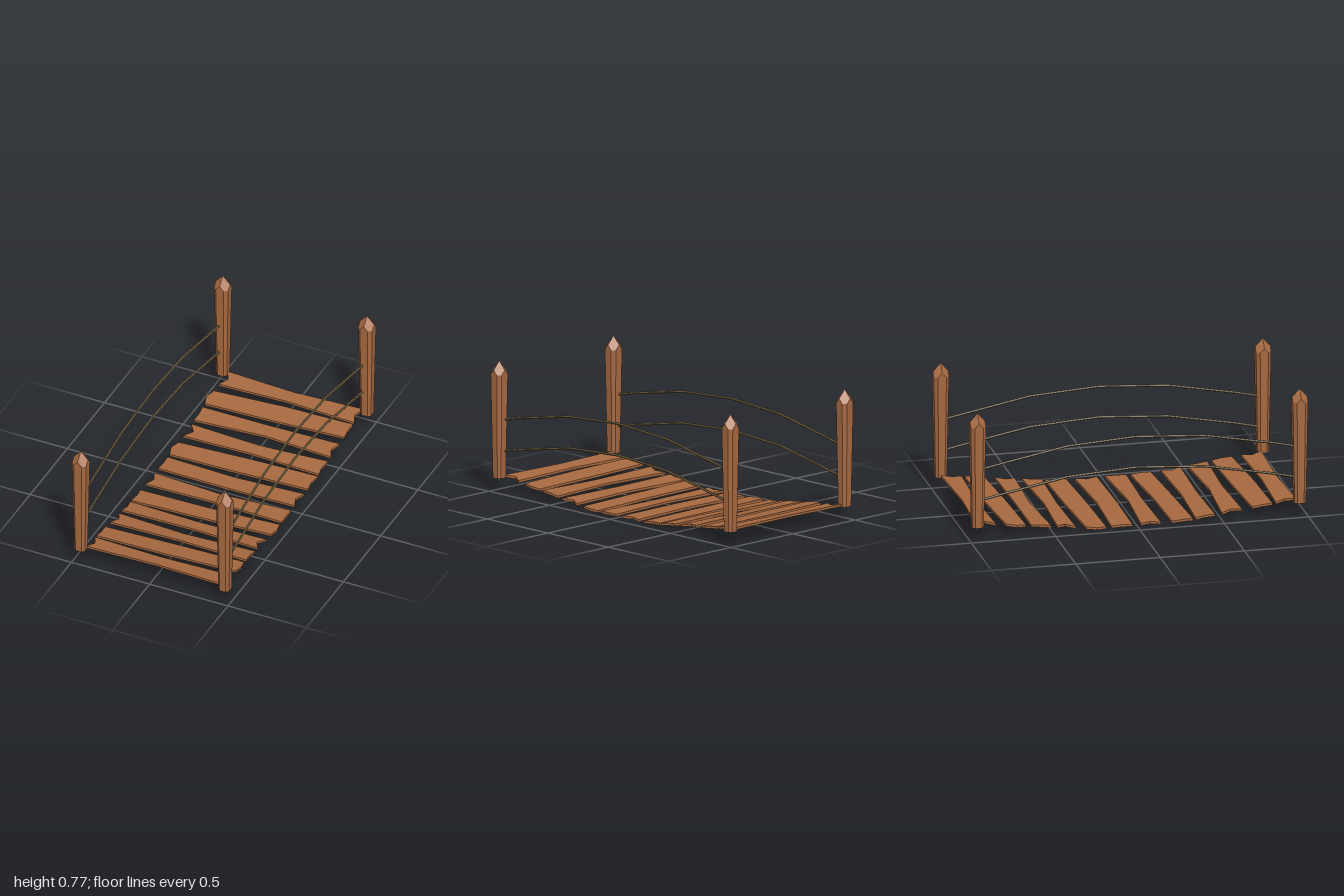
import * as THREE from 'three';

const wood = new THREE.MeshStandardMaterial({ name: 'wood', color: 0xa5683f, flatShading: true });
const rope = new THREE.MeshStandardMaterial({ name: 'rope', color: 0x7d6a48, flatShading: true });

// Planks: z of the back edge (left, middle, right), z of the front edge
// (left, middle, right), and x of the notch or point on each end
const PLANKS = [
  [-0.96, -0.94, -0.96, -0.84, -0.855, -0.835, -0.40, 0.41],
  [-0.78, -0.81, -0.82, -0.66, -0.675, -0.70, -0.455, 0.43],
  [-0.63, -0.63, -0.64, -0.51, -0.54, -0.52, -0.43, 0.41],
  [-0.475, -0.455, -0.48, -0.365, -0.375, -0.36, -0.395, 0.425],
  [-0.305, -0.33, -0.345, -0.185, -0.195, -0.215, -0.455, 0.425],
  [-0.155, -0.14, -0.165, -0.03, -0.025, -0.035, -0.43, 0.41],
  [0.02, 0.045, 0.015, 0.14, 0.13, 0.14, -0.41, 0.435],
  [0.205, 0.195, 0.165, 0.33, 0.31, 0.285, -0.43, 0.445],
  [0.345, 0.36, 0.345, 0.46, 0.45, 0.46, -0.425, 0.40],
  [0.50, 0.525, 0.50, 0.62, 0.605, 0.62, -0.405, 0.43],
  [0.68, 0.66, 0.645, 0.80, 0.79, 0.765, -0.43, 0.445],
  [0.82, 0.835, 0.82, 0.94, 0.925, 0.94, -0.405, 0.40],
];

// Height of the sagging deck
const SAG = [[0, 0.0105], [0.2, 0.0085], [0.33, 0.017], [0.6, 0.05], [0.97, 0.094]];
function deckHeight(z) {
  const d = Math.abs(z);
  let i = 1;
  while (i < SAG.length - 1 && d > SAG[i][0]) i++;
  const [a, ya] = SAG[i - 1], [b, yb] = SAG[i];
  return ya + (yb - ya) * (d - a) / (b - a);
}

// Worn plank: waisted outline with notched ends, tilted to follow the deck
function plankGeometry([bl, bm, br, fl, fm, fr, xl, xr]) {
  const t = 0.014, w = 0.435;
  const outline = [
    [-w, fl], [0, fm], [w, fr], [xr, (br + fr) / 2],
    [w, br], [0, bm], [-w, bl], [xl, (bl + fl) / 2],
  ].map(([x, z]) => new THREE.Vector2(x, -z));
  const g = new THREE.ExtrudeGeometry(new THREE.Shape(outline), { depth: t, bevelEnabled: false });
  g.rotateX(-Math.PI / 2);
  const z0 = (bl + br) / 2, z1 = (fl + fr) / 2;
  const y0 = deckHeight(z0), slope = (deckHeight(z1) - y0) / (z1 - z0);
  const p = g.attributes.position;
  for (let i = 0; i < p.count; i++) {
    p.setY(i, Math.max(0, p.getY(i) - t / 2 + y0 + slope * (p.getZ(i) - z0)));
  }
  g.computeVertexNormals();
  return g;
}

// Chamfered square post, wider at the top, cut to a diagonal four-sided point
function postGeometry() {
  const a = 0.045, c = 0.025, apex = 0.775, base = 0.083, taper = 0.75;
  const ring = [];
  for (let q = 0; q < 4; q++) {
    const s = Math.sin(q * Math.PI / 2), k = Math.cos(q * Math.PI / 2);
    for (const [x, z] of [[a, 0], [a, c], [c, a]]) ring.push([x * k - z * s, x * s + z * k]);
  }
  const bottom = ring.map(([x, z]) => [x * taper, base, z * taper]);
  const top = ring.map(([x, z]) => [x, apex - 1.1 * (Math.abs(x) + Math.abs(z)), z]);
  const tri = [];
  ring.forEach((_, i) => {
    const j = (i + 1) % ring.length;
    tri.push(bottom[i], top[i], top[j], bottom[i], top[j], bottom[j]);
    tri.push(top[i], [0, apex, 0], top[j]);
    tri.push([0, base, 0], bottom[i], bottom[j]);
  });
  const g = new THREE.BufferGeometry();
  g.setAttribute('position', new THREE.Float32BufferAttribute(tri.flat(), 3));
  g.computeVertexNormals();
  return g;
}

// Arched rope made of straight runs between its bends
function ropeGeometry(x, drop) {
  const bends = [[0.955, 0.422], [0.79, 0.46], [0.39, 0.535], [-0.02, 0.561],
    [-0.425, 0.535], [-0.79, 0.464], [-0.955, 0.431]];
  const curve = new THREE.CatmullRomCurve3(bends.map(([z, y]) => new THREE.Vector3(x, y - drop, z)));
  curve.getPointAt = (u, target) => curve.getPoint(u, target);
  curve.getTangentAt = (u, target) => curve.getTangent(u, target);
  return new THREE.TubeGeometry(curve, bends.length - 1, 0.0075, 6, false);
}

export function createModel() {
  const model = new THREE.Group();
  model.name = 'plankBridge';
  const add = (name, geometry, material) => {
    const mesh = new THREE.Mesh(geometry, material);
    mesh.name = name;
    model.add(mesh);
    return mesh;
  };

  // Deck
  PLANKS.forEach((p, i) => add(`plank${i + 1}`, plankGeometry(p), wood));

  // Corner posts
  const post = postGeometry();
  for (const x of [-0.46, 0.46]) {
    for (const z of [-0.955, 0.955]) {
      const side = x > 0 ? 'Left' : 'Right';
      add(`${z > 0 ? 'front' : 'back'}${side}Post`, post, wood).position.set(x, 0, z);
    }
  }

  // Handrail ropes
  for (const [side, x] of [['right', -0.468], ['left', 0.447]]) {
    add(`${side}UpperRope`, ropeGeometry(x, 0), rope);
    add(`${side}LowerRope`, ropeGeometry(x, 0.187), rope);
  }
  return model;
}
